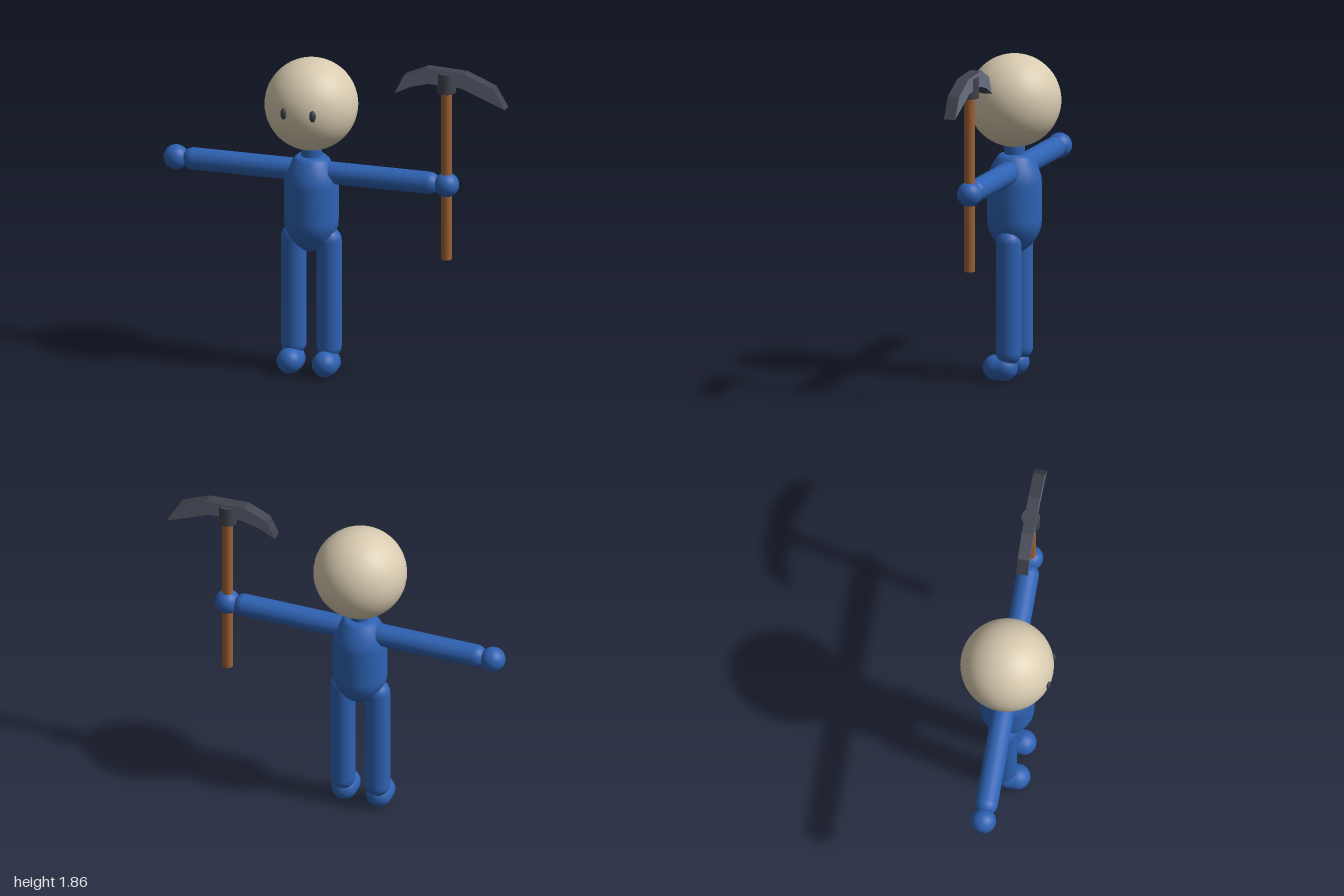
import * as THREE from 'three';

const mat = (name, color) => {
  const m = new THREE.MeshStandardMaterial({ color });
  m.name = name;
  return m;
};

export function createModel() {
  const group = new THREE.Group();
  const blue = mat('blue', 0x2e62b3);
  const cream = mat('cream', 0xd8cbb0);
  const wood = mat('wood', 0x9c6035);
  const steel = mat('steel', 0x686f82);
  const iron = mat('dark iron', 0x3f434d);

  const add = (name, geometry, material, x, y, z = 0) => {
    const mesh = new THREE.Mesh(geometry, material);
    mesh.name = name;
    mesh.position.set(x, y, z);
    group.add(mesh);
    return mesh;
  };
  // capsule given by its full length
  const capsule = (r, length) => new THREE.CapsuleGeometry(r, length - 2 * r, 8, 24);
  const midX = -0.141;

  // head, neck and torso
  add('head', new THREE.SphereGeometry(0.261, 40, 28), cream, midX, 1.571);
  add('neck', new THREE.CylinderGeometry(0.058, 0.058, 0.16, 24), blue, midX, 1.29);
  const profile = [
    [0, 0.708], [0.05, 0.72], [0.095, 0.757], [0.132, 0.81], [0.15, 0.86], [0.153, 0.9],
    [0.153, 1.11], [0.148, 1.15], [0.128, 1.2], [0.1, 1.25], [0.08, 1.268], [0, 1.272],
  ].map(([r, y]) => new THREE.Vector2(r, y));
  add('torso', new THREE.LatheGeometry(profile, 32), blue, midX, 0);

  // mirrored limbs and eyes
  for (const [side, s] of [['left', 1], ['right', -1]]) {
    const at = (d) => midX + s * d;
    add(side + 'Eye', new THREE.SphereGeometry(1, 16, 12), iron, at(0.084), 1.583, 0.244)
      .scale.set(0.019, 0.034, 0.016);
    add(side + 'Arm', capsule(0.063, 0.71), blue, at(0.395), 1.177).rotation.z = Math.PI / 2;
    add(side + 'Hand', new THREE.SphereGeometry(0.07, 24, 16), blue, at(0.789), 1.177);
    add(side + 'Leg', capsule(0.071, 0.765), blue, at(0.103), 0.471);
    add(side + 'Foot', capsule(0.073, 0.197), blue, at(0.103), 0.073, 0.049).rotation.x = Math.PI / 2;
  }

  // pickaxe: handle, collar and curved blade with dark edges
  const toolX = 0.647;
  add('pickaxeHandle', new THREE.CylinderGeometry(0.03, 0.03, 1.02, 16), wood, toolX, 1.25);
  add('pickaxeCollar', new THREE.CylinderGeometry(0.052, 0.052, 0.116, 16), iron, toolX, 1.778);
  const outline = [
    [0.355, 1.695], [0.45, 1.743], [0.553, 1.77], [0.745, 1.762], [0.87, 1.712],
    [0.998, 1.66], [0.928, 1.778], [0.762, 1.847], [0.537, 1.858], [0.405, 1.8],
  ].map(([x, y]) => new THREE.Vector2(x, y));
  const blade = new THREE.ExtrudeGeometry(new THREE.Shape(outline), { depth: 0.066, bevelEnabled: false });
  add('pickaxeBlade', blade, [steel, iron], 0, 0, -0.033);

  return group;
}
